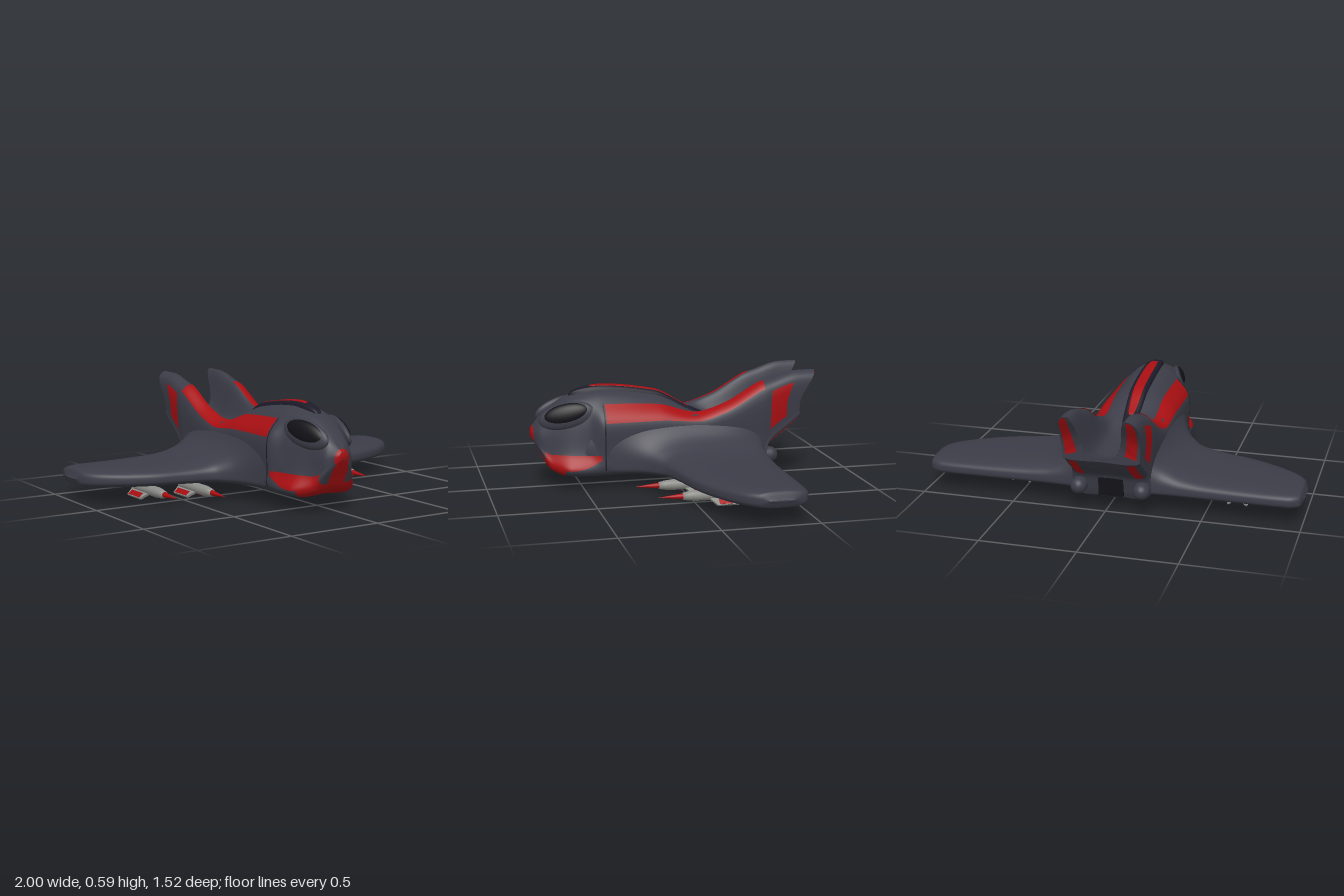
import * as THREE from 'three';

const mat = (color) => new THREE.MeshStandardMaterial({ color, side: THREE.DoubleSide });
const DARK = mat(0x3c3c48), RED = mat(0xa80f12), BLACK = mat(0x121217), TRIM = mat(0x1d1b28), GREY = mat(0x8c8c88);
const CX = -0.028; // fuselage centre line

// Smooth, overshoot-free interpolation of table rows keyed by their first column
function lookup(rows, k) {
  let i = 0;
  while (i < rows.length - 2 && k > rows[i + 1][0]) i++;
  const a = rows[i], b = rows[i + 1], h = b[0] - a[0];
  const t = THREE.MathUtils.clamp((k - a[0]) / h, 0, 1);
  const slope = (j, c) => (rows[j + 1][c] - rows[j][c]) / (rows[j + 1][0] - rows[j][0]);
  const tangent = (j, c) => {
    if (j === 0) return slope(0, c);
    if (j === rows.length - 1) return slope(j - 1, c);
    const p = slope(j - 1, c), q = slope(j, c);
    return p * q <= 0 ? 0 : (2 * p * q) / (p + q);
  };
  return a.map((v, c) => {
    const t2 = t * t, t3 = t2 * t;
    return (2 * t3 - 3 * t2 + 1) * v + (t3 - 2 * t2 + t) * h * tangent(i, c)
      + (3 * t2 - 2 * t3) * b[c] + (t3 - t2) * h * tangent(i + 1, c);
  });
}

// Surface from a function of u and v, optionally pushed out along its normals
function surface(f, nu, nv, push = 0) {
  const g = new THREE.PlaneGeometry(1, 1, nu, nv);
  const { position: p, uv } = g.attributes;
  for (let i = 0; i < p.count; i++) p.setXYZ(i, ...f(uv.getX(i), uv.getY(i)));
  g.computeVertexNormals();
  if (push) {
    const n = g.attributes.normal;
    for (let i = 0; i < p.count; i++) {
      p.setXYZ(i, p.getX(i) + push * n.getX(i), p.getY(i) + push * n.getY(i), p.getZ(i) + push * n.getZ(i));
    }
  }
  return g;
}

// Fuselage stations: z, width, bottom, x3, y3, x4, y4, x5, y5, y6, centre top
const HULL = [
  [-0.67, 0.195, 0.34, 0.198, 0.38, 0.196, 0.565, 0.142, 0.592, 0.38, 0.36],
  [-0.6, 0.196, 0.28, 0.199, 0.33, 0.198, 0.56, 0.14, 0.59, 0.36, 0.335],
  [-0.5, 0.2, 0.195, 0.202, 0.25, 0.201, 0.52, 0.135, 0.55, 0.34, 0.31],
  [-0.47, 0.203, 0.08, 0.203, 0.19, 0.203, 0.505, 0.134, 0.538, 0.34, 0.31],
  [-0.25, 0.203, 0.08, 0.203, 0.19, 0.203, 0.385, 0.134, 0.42, 0.335, 0.325],
  [-0.11, 0.203, 0.08, 0.203, 0.19, 0.203, 0.348, 0.132, 0.385, 0.378, 0.375],
  [0.1, 0.203, 0.08, 0.203, 0.19, 0.203, 0.362, 0.13, 0.437, 0.468, 0.48],
  [0.395, 0.203, 0.08, 0.203, 0.19, 0.201, 0.36, 0.135, 0.45, 0.5, 0.515],
  [0.47, 0.203, 0.08, 0.178, 0.19, 0.155, 0.36, 0.118, 0.45, 0.492, 0.507],
  [0.57, 0.193, 0.083, 0.155, 0.19, 0.122, 0.36, 0.093, 0.44, 0.468, 0.476],
  [0.66, 0.125, 0.11, 0.11, 0.19, 0.097, 0.32, 0.073, 0.395, 0.412, 0.418],
  [0.72, 0.08, 0.205, 0.08, 0.23, 0.077, 0.295, 0.054, 0.345, 0.36, 0.362],
  [0.757, 0.02, 0.275, 0.024, 0.29, 0.024, 0.3, 0.014, 0.31, 0.315, 0.315],
];

// Point on the fuselage skin; u runs 0 (keel) to 7 (spine), negative on the right
const curves = new Map();
function skin(u, z) {
  if (!curves.has(z)) {
    const [, w, b, x3, y3, x4, y4, x5, y5, y6, yc] = lookup(HULL, z);
    const low = b + Math.min(0.03, (y3 - b) * 0.3);
    const pts = [[-w * 0.86, b], [0, b], [w * 0.86, b], [w, low], [x3, y3], [x4, y4], [x5, y5], [x5 * 0.55, y6], [0, yc], [-x5 * 0.55, y6]];
    curves.set(z, new THREE.CatmullRomCurve3(pts.map(([x, y]) => new THREE.Vector3(x, y, 0))));
  }
  const p = curves.get(z).getPoint((1 + Math.abs(u)) / 9);
  // sweep the fin tips backwards
  const sweep = THREE.MathUtils.smoothstep(p.y, 0.41, 0.64) * THREE.MathUtils.clamp((-z - 0.45) / 0.22, 0, 1);
  return [CX + Math.sign(u) * p.x, p.y, z - 0.1 * sweep];
}
const patch = (u0, u1, z0, z1, push, nu = 12, nv = 50) =>
  surface((u, v) => skin(u0 + (u1 - u0) * u, z0 + (z1 - z0) * v), nu, nv, push);

// Rear face of a fin, ruled between its outer and inner skin
const finRear = (s, u0, u1, v0, v1, back) => surface((u, v) => {
  const k = u0 + (u1 - u0) * u, t = v0 + (v1 - v0) * v;
  const a = skin(s * Math.max(4.8 * (1 - k), 1e-4), -0.67), b = skin(s * Math.min(4.8 + 2.2 * k, 6.999), -0.67);
  return a.map((c, i) => c + (b[i] - c) * t - (i === 2 ? back : 0));
}, 40, 2);

// Wing stations: distance from centre, leading z, trailing z, top, bottom
const WING = [
  [0.17, 0.5, -0.475, 0.38, 0.085],
  [0.19, 0.44, -0.475, 0.365, 0.083],
  [0.205, 0.37, -0.474, 0.338, 0.08],
  [0.22, 0.31, -0.472, 0.312, 0.08],
  [0.25, 0.235, -0.468, 0.276, 0.08],
  [0.29, 0.175, -0.465, 0.247, 0.08],
  [0.36, 0.112, -0.462, 0.215, 0.08],
  [0.48, 0.075, -0.46, 0.196, 0.08],
  [0.65, 0.035, -0.46, 0.187, 0.08],
  [0.8, -0.03, -0.46, 0.182, 0.08],
  [0.92, -0.11, -0.455, 0.178, 0.081],
  [0.98, -0.18, -0.43, 0.17, 0.087],
  [1, -0.24, -0.36, 0.13, 0.124],
];
function wing(side) {
  const span = 1 - side * CX;
  const sp = (x, e) => Math.sign(x) * Math.abs(x) ** e;
  return surface((u, v) => {
    const [d, lead, trail, top, bottom] = lookup(WING, 0.17 + 0.83 * v * v * (3 - 2 * v));
    const a = -Math.PI / 2 - side * 2 * Math.PI * u, s = Math.sin(a), mid = 0.127;
    const x = d < 0.2 ? d : 0.2 + (d - 0.2) * (span - 0.2) / 0.8;
    return [CX + side * x, mid + (s > 0 ? top - mid : mid - bottom) * sp(s, 0.65),
      (lead + trail) / 2 + (lead - trail) / 2 * sp(Math.cos(a), 0.7)];
  }, 64, 80);
}

// Raised strip with rounded ends along the spine
const spineStrip = (z0, z1, half, lift) => surface((u, v) => {
  const a = 2 * u - 1, s = -Math.cos(Math.PI * v);
  const z = z0 + (z1 - z0) * (s + 1) / 2;
  const y = lookup(HULL, z)[10];
  return [CX + a * half * (1 - s ** 4) ** 0.5, y - 0.012 + (lift + 0.012) * (1 - a ** 10) * (1 - s ** 40), z];
}, 20, 60);

export function createModel() {
  const model = new THREE.Group();
  const add = (name, geo, material, parent = model) => {
    const m = new THREE.Mesh(geo, material);
    m.name = name;
    parent.add(m);
    return m;
  };

  // Fuselage and nose cap
  add('fuselage', patch(-7, 7, -0.67, 0.757, 0, 112, 130), DARK);
  add('noseCap', surface((u, v) => {
    const p = skin(14 * u - 7, 0.757);
    return [CX + (p[0] - CX) * (1 - v), 0.295 + (p[1] - 0.295) * (1 - v), 0.757 + 0.004 * v];
  }, 40, 2), RED);

  // Red chin band with a stripe up to the nose
  add('chin', patch(-3, 3, 0.6, 0.695, 0.003, 48, 20), RED);
  add('noseStripe', surface((u, v) => {
    const z = 0.69 + 0.06 * v, reach = Math.min(1, 0.045 / (0.86 * lookup(HULL, z)[1]));
    return skin((2 * u - 1) * reach, z);
  }, 10, 16, 0.004), RED);
  add('noseTip', patch(-7, 7, 0.746, 0.757, 0.003, 56, 6), RED);

  for (const s of [1, -1]) {
    const band = (name, u0, u1, z0, z1, push, m) =>
      add(name, s > 0 ? patch(u0, u1, z0, z1, push) : patch(-u1, -u0, z0, z1, push), m);
    // cheek paint narrows towards the rear
    add('cheek', surface((u, v) => {
      const low = 2 + 0.75 * (1 - v) ** 2, k = s > 0 ? u : 1 - u;
      return skin(s * (low + (3 - low) * k), 0.41 + 0.192 * v);
    }, 12, 24, 0.003), RED);
    band('shoulderStripe', 4, 5, -0.47, 0.385, 0.003, RED);
    band('headSeam', 2, 5, 0.39, 0.397, 0.003, TRIM);
    band('finPanel', 3.15, 3.85, -0.595, -0.505, 0.004, RED);
    band('underTailPanel', 0.7, 1.12, -0.668, -0.515, 0.004, RED);
    add('finRearFace', finRear(s, 0, 1, 0, 1, 0), DARK);
    add('finRearPanel', finRear(s, 0.1, 0.5, 0.15, 0.7, 0.004), RED);
    add('wing', wing(s), DARK);

    // Eye-shaped window in a raised frame
    const eye = new THREE.Group();
    eye.name = 'eyeWindow';
    eye.position.set(CX + s * 0.1, 0.393, 0.58);
    eye.rotation.set(0.22, -0.22 * s, 0.3 * s);
    add('eyeFrame', new THREE.SphereGeometry(1, 32, 20), DARK, eye).scale.set(0.032, 0.07, 0.15);
    const glass = add('eyeGlass', new THREE.SphereGeometry(1, 32, 20), BLACK, eye);
    glass.scale.set(0.029, 0.055, 0.122);
    glass.position.set(s * 0.01, 0.008, 0);
    model.add(eye);

    // Thruster pod under the tail
    const pod = add('thrusterPod', new THREE.CapsuleGeometry(0.043, 0.1, 8, 20), DARK);
    pod.rotation.x = Math.PI / 2;
    pod.position.set(CX + s * 0.165, 0.138, -0.465);
  }

  // Spine canopy
  add('spine', spineStrip(-0.21, 0.56, 0.05, 0.016), TRIM);
  add('spineStripe', spineStrip(-0.12, 0.46, 0.034, 0.019), RED);

  // Tail nozzle and belly panel
  add('tailNozzle', new THREE.BoxGeometry(0.13, 0.1, 0.06), BLACK).position.set(CX, 0.14, -0.468);
  add('bellyPanel', new THREE.BoxGeometry(0.11, 0.006, 0.3), TRIM).position.set(CX, 0.079, -0.325);

  // Missiles under the wings: x and z of the tip
  for (const [x, z] of [[-0.64, 0.185], [-0.41, 0.275], [0.32, 0.275], [0.55, 0.205]]) {
    const missile = new THREE.Group();
    missile.name = 'missile';
    missile.position.set(x, 0.053, z);
    const lathe = (name, pts, m) => {
      const g = new THREE.LatheGeometry(pts.map(([r, l]) => new THREE.Vector2(r, l)), 20);
      add(name, g, m, missile).rotation.x = Math.PI / 2;
    };
    lathe('missileTip', [[0.017, -0.16], [0.012, -0.1], [0, 0]], RED);
    lathe('missileBody', [[0, -0.45], [0.022, -0.45], [0.027, -0.43], [0.028, -0.2], [0.024, -0.16], [0.018, -0.13], [0, -0.13]], GREY);
    // two splayed lower fins and a short pylon on top
    for (const [angle, reach] of [[0, 0.035], [2.3, 0.069], [-2.3, 0.069]]) {
      const fin = new THREE.Group();
      fin.name = 'missileFin';
      fin.rotation.z = angle;
      const blade = new THREE.Shape([[0.26, 0.02], [0.3, reach], [0.44, reach], [0.45, 0.02]].map(([l, r]) => new THREE.Vector2(l, r)));
      const g = new THREE.ExtrudeGeometry(blade, { depth: 0.012, bevelEnabled: false });
      g.translate(0, 0, -0.006).rotateY(Math.PI / 2);
      add('finBlade', g, GREY, fin);
      if (angle) add('finPaint', new THREE.BoxGeometry(0.015, 0.03, 0.12), RED, fin).position.set(0, 0.05, -0.37);
      missile.add(fin);
    }
    model.add(missile);
  }
  return model;
}
